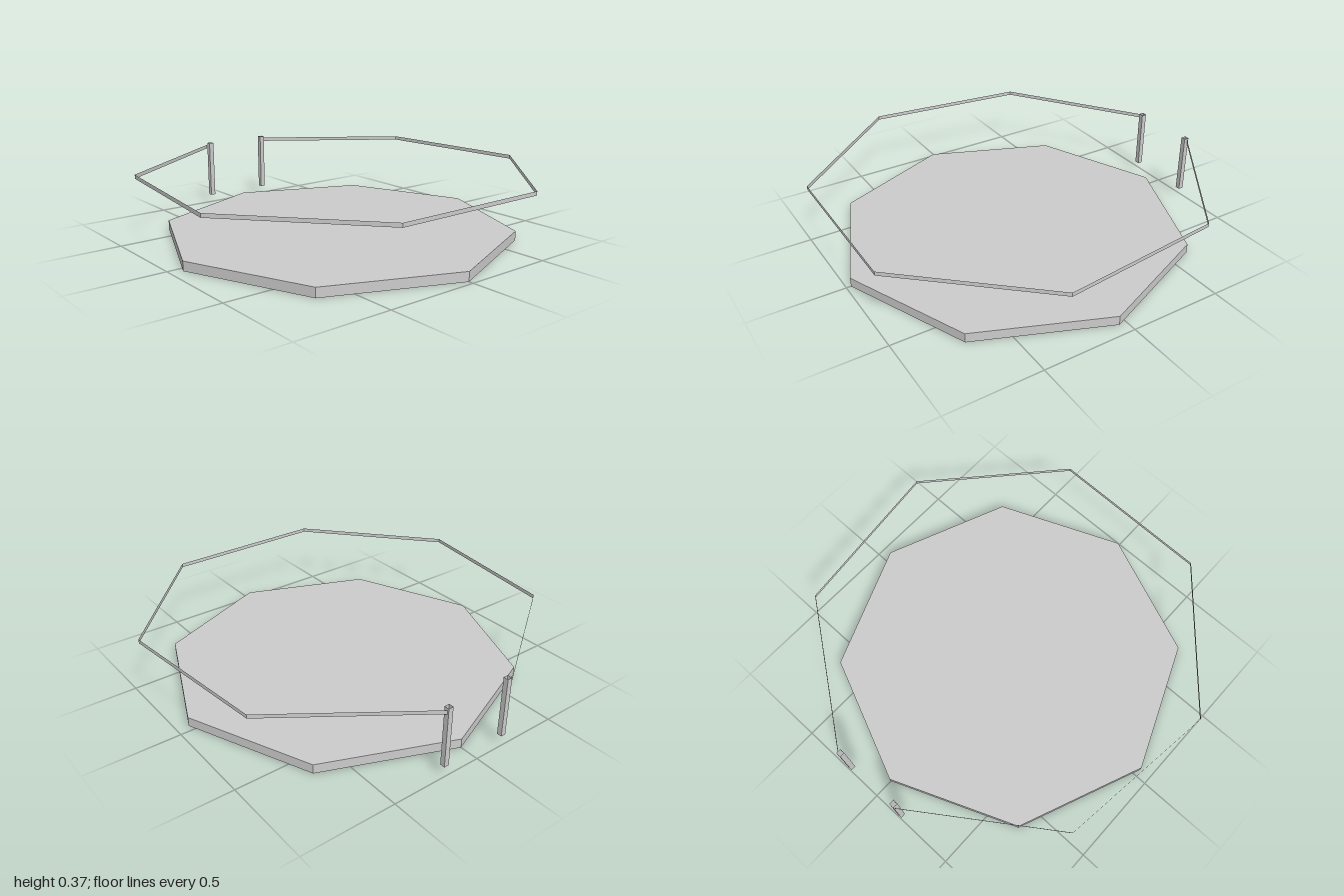
import * as THREE from 'three';

const material = new THREE.MeshStandardMaterial({
  color: 0xcccccc, flatShading: true, side: THREE.DoubleSide,
});
const CENTRE_Z = 0.04;

// Open-ended faceted tube standing between two heights
function band(name, radius, bottom, top, sides, start = 0, sweep = Math.PI * 2) {
  const geometry = new THREE.CylinderGeometry(
    radius, radius, top - bottom, sides, 1, true, start, sweep);
  const mesh = new THREE.Mesh(geometry, material);
  mesh.name = name;
  mesh.position.y = (bottom + top) / 2;
  return mesh;
}

export function createModel() {
  const model = new THREE.Group();
  model.name = 'railedPlatform';

  // Octagonal platform: rim and top sheet, hollow underneath
  const platform = new THREE.Group();
  platform.name = 'platform';
  platform.position.z = CENTRE_Z;
  const floorTop = new THREE.Mesh(
    new THREE.CircleGeometry(0.936, 8, Math.PI / 2).rotateX(-Math.PI / 2), material);
  floorTop.name = 'platformTop';
  floorTop.position.y = 0.05;
  platform.add(band('platformRim', 0.936, 0, 0.05, 8), floorTop);
  model.add(platform);

  // Thin handrail strip: seven straight runs, open at the back
  const deg = Math.PI / 180;
  const rail = band('handrail', 1.05, 0.34, 0.361, 7, -169.55 * deg, 338.1 * deg);
  rail.position.z = CENTRE_Z;
  model.add(rail);

  // Square open-ended posts either side of the gap
  for (const [name, x] of [['leftPost', 0.195], ['rightPost', -0.173]]) {
    const post = band(name, 0.0135 * Math.SQRT2, 0.051, 0.372, 4, Math.PI / 4);
    post.position.x = x;
    post.position.z = -0.983;
    model.add(post);
  }
  return model;
}
